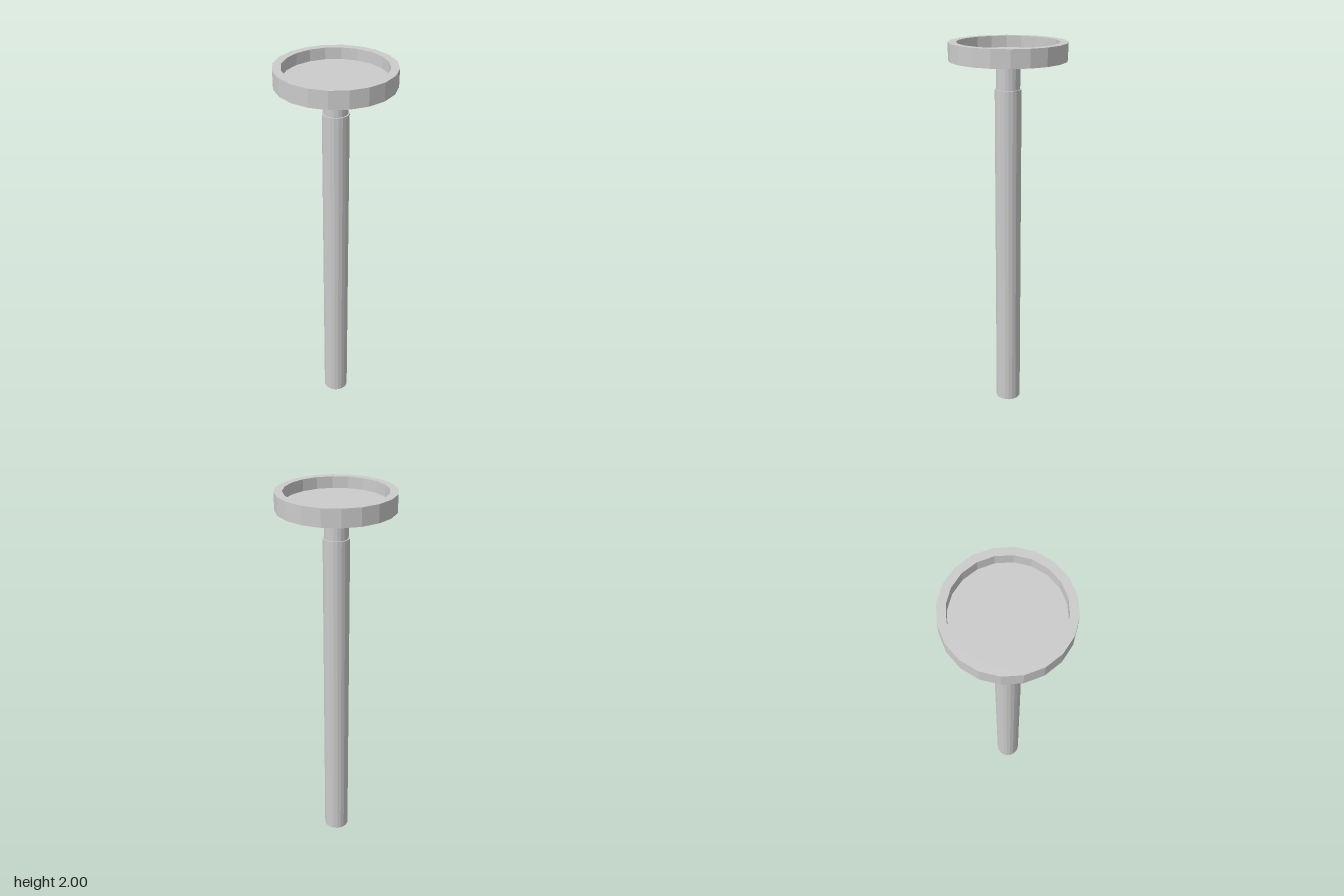
import * as THREE from 'three';

const SIDES = 20;

// Faceted solid of revolution from [radius, height] pairs, listed from the bottom up
function turned(name, profile, material) {
  const points = profile.map(([r, y]) => new THREE.Vector2(r, y));
  const mesh = new THREE.Mesh(new THREE.LatheGeometry(points, SIDES), material);
  mesh.name = name;
  return mesh;
}

export function createModel() {
  const group = new THREE.Group();
  group.name = 'pedestal';
  const material = new THREE.MeshStandardMaterial({ color: 0xcccccc, flatShading: true });

  // Long post with a closed foot and a small shoulder at the top
  group.add(turned('post', [[0, 0], [0.067, 0], [0.067, 1.77], [0, 1.77]], material));

  // Slightly thinner neck between post and dish
  group.add(turned('neck', [[0.06, 1.77], [0.06, 1.912]], material));

  // Shallow dish: flat underside, outer wall, rim, inner wall, recessed floor
  group.add(turned('dish', [
    [0, 1.912], [0.294, 1.912], [0.294, 2], [0.254, 2], [0.254, 1.942], [0, 1.942],
  ], material));

  return group;
}
